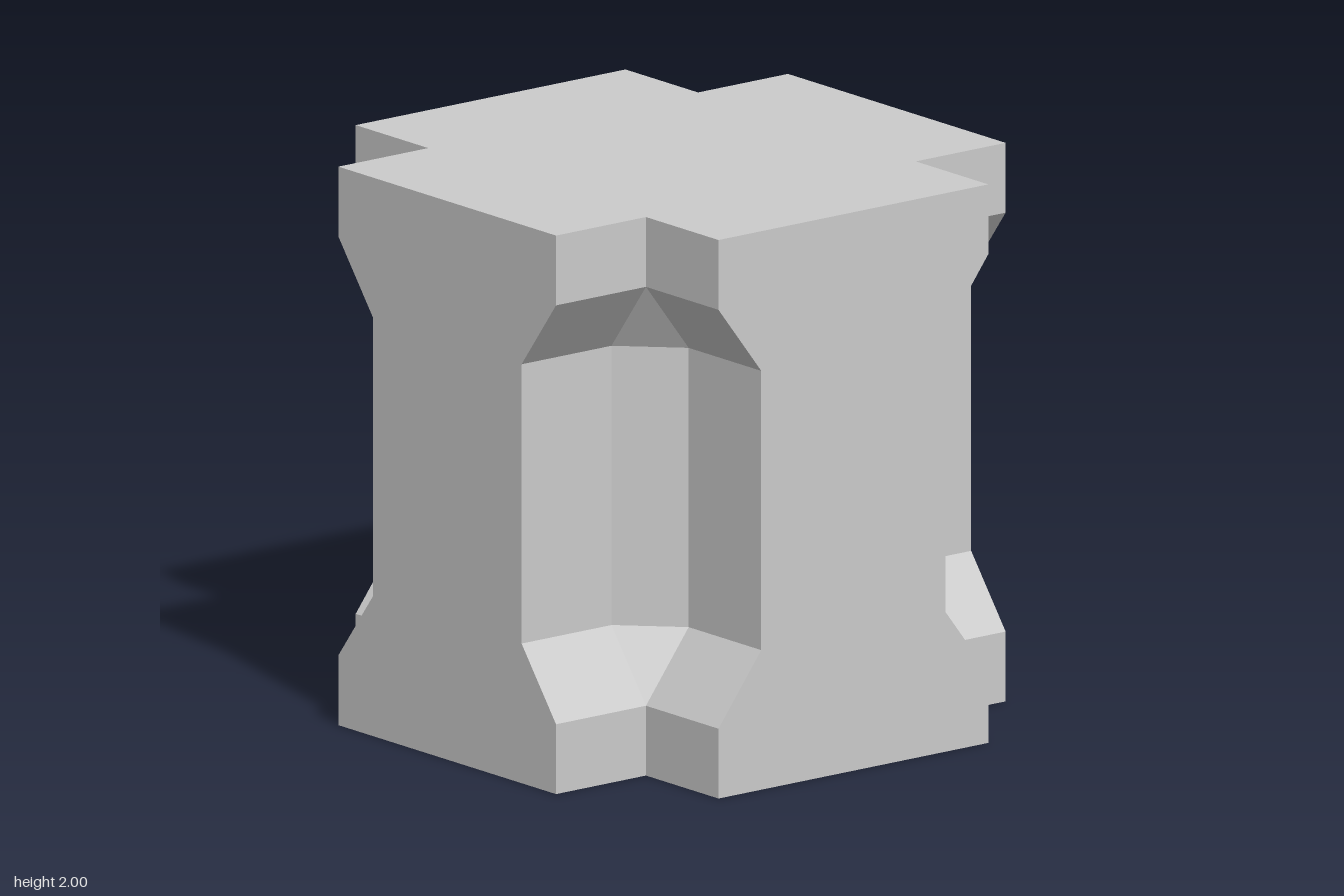
import * as THREE from 'three';

// One corner of the plan as [x, z]; repeated by quarter turns into a full ring
const END = [[0.6, 1], [0.6, 0.6], [0.6, 0.6], [1, 0.6]];
const WAIST = [[0.41, 1], [0.41, 0.6], [0.6, 0.41], [1, 0.41]];

function ring(corner, y) {
  const points = [];
  for (let k = 0; k < 4; k++) {
    for (let [x, z] of corner) {
      for (let i = 0; i < k; i++) [x, z] = [z, -x];
      points.push(new THREE.Vector3(x, y, z));
    }
  }
  return points;
}

function blockGeometry() {
  const rings = [
    ring(END, 0), ring(END, 0.25), ring(WAIST, 0.5),
    ring(WAIST, 1.5), ring(END, 1.75), ring(END, 2),
  ];
  const positions = [];
  const triangle = (a, b, c) => {
    // Skip triangles collapsed at the inner corner
    if (a.equals(b) || b.equals(c) || c.equals(a)) return;
    for (const p of [a, b, c]) positions.push(p.x, p.y, p.z);
  };

  // Side walls between neighbouring rings
  for (let r = 0; r < rings.length - 1; r++) {
    const low = rings[r], high = rings[r + 1];
    for (let i = 0; i < low.length; i++) {
      const j = (i + 1) % low.length;
      triangle(low[i], low[j], high[j]);
      triangle(low[i], high[j], high[i]);
    }
  }

  // Flat cross-shaped top and bottom
  const unique = (points) => points.filter((p, i) => i % 4 !== 2);
  const top = unique(rings[5]), bottom = unique(rings[0]);
  const outline = top.map((p) => new THREE.Vector2(p.x, -p.z));
  for (const [a, b, c] of THREE.ShapeUtils.triangulateShape(outline, [])) {
    triangle(top[a], top[b], top[c]);
    triangle(bottom[c], bottom[b], bottom[a]);
  }

  const geometry = new THREE.BufferGeometry();
  geometry.setAttribute('position', new THREE.Float32BufferAttribute(positions, 3));
  geometry.computeVertexNormals();
  return geometry;
}

export function createModel() {
  const group = new THREE.Group();
  group.name = 'notchedBlock';
  const material = new THREE.MeshStandardMaterial({ color: 0xcccccc, flatShading: true });
  const block = new THREE.Mesh(blockGeometry(), material);
  block.name = 'block';
  group.add(block);
  return group;
}
